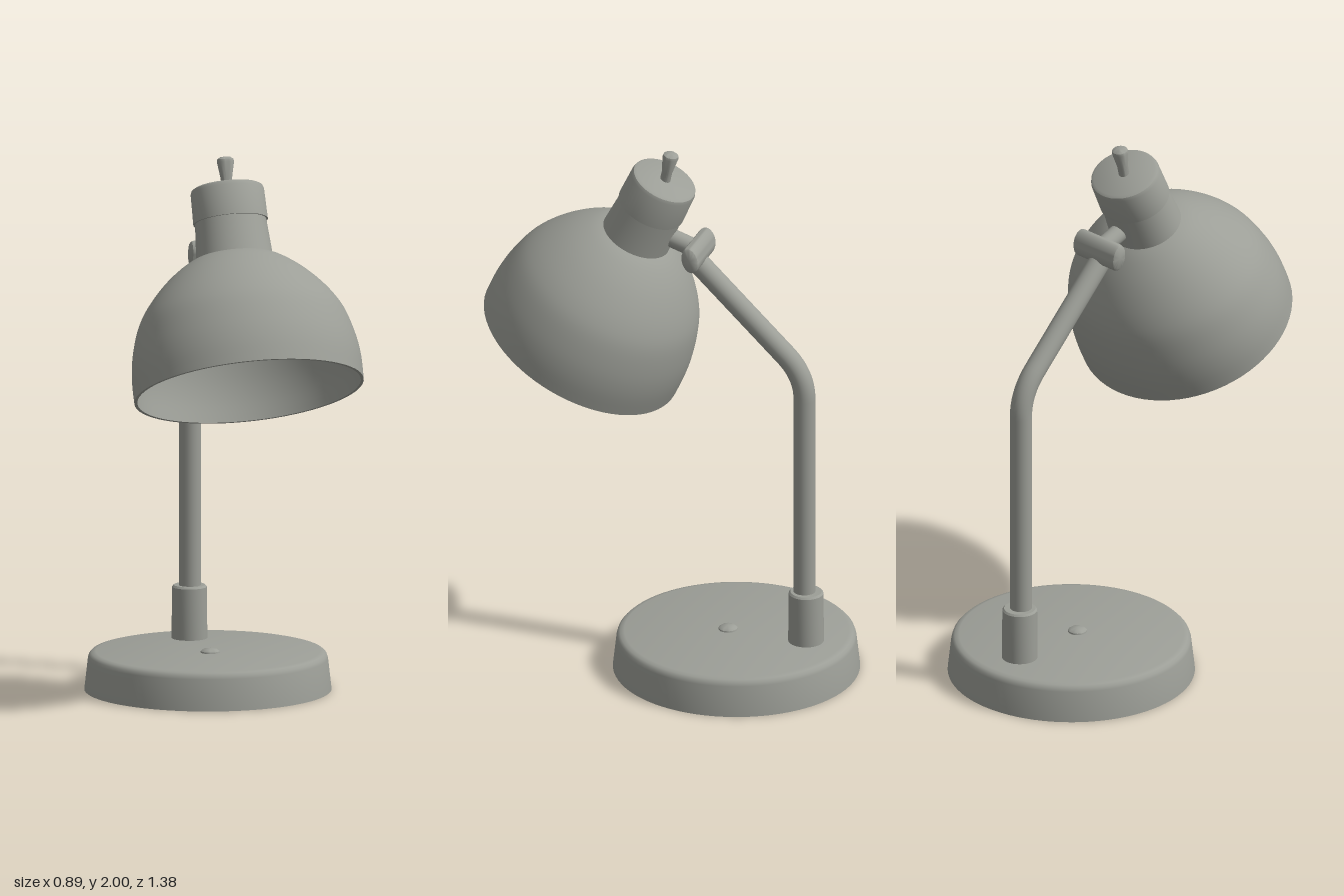
import * as THREE from 'three';
import { toCreasedNormals } from 'three/addons/utils/BufferGeometryUtils.js';

export function createModel() {
  const lamp = new THREE.Group();
  lamp.name = 'deskLamp';
  const metal = new THREE.MeshStandardMaterial({ color: 0x9c9e97 });
  metal.name = 'grey metal';

  const V = (x, y, z) => new THREE.Vector3(x, y, z);
  const add = (parent, name, geometry) => {
    const mesh = new THREE.Mesh(geometry, metal);
    mesh.name = name;
    parent.add(mesh);
    return mesh;
  };
  // profile of [radius, height] pairs, running from the underside to the top
  const lathe = (profile, segments = 64) =>
    toCreasedNormals(new THREE.LatheGeometry(profile.map(([r, y]) => new THREE.Vector2(r, y)), segments), 0.65);

  // Base: tapered disc with a softened upper edge
  add(lamp, 'base', lathe([[0, 0], [0.447, 0], [0.434, 0.115], [0.43, 0.127], [0.421, 0.136], [0.405, 0.14], [0, 0.14]], 80))
    .position.z = -0.245;
  add(lamp, 'baseButton', lathe([[0, 0.135], [0.036, 0.135], [0.034, 0.145], [0.025, 0.152], [0, 0.155]], 24))
    .position.z = -0.213;

  // Stem socket
  add(lamp, 'stemSocket', lathe([[0, 0.13], [0.065, 0.13], [0.063, 0.328], [0.057, 0.335], [0, 0.335]], 32))
    .position.z = -0.511;

  // Stem: upright, bend and sloping arm
  const path = new THREE.CurvePath();
  const bendStart = V(0, 1.1, -0.505);
  const bendEnd = V(0, 1.265, -0.43);
  path.add(new THREE.LineCurve3(V(0, 0.3, -0.505), bendStart));
  path.add(new THREE.QuadraticBezierCurve3(bendStart, V(0, 1.195, -0.505), bendEnd));
  path.add(new THREE.LineCurve3(bendEnd, V(0, 1.595, -0.085)));
  add(lamp, 'stem', new THREE.TubeGeometry(path, 90, 0.04, 24));

  // Hinge: flattened cross bar with rounded rims
  const hinge = add(lamp, 'hingeBar', lathe(
    [[0, -0.105], [0.04, -0.105], [0.047, -0.1], [0.05, -0.09], [0.05, 0.09], [0.047, 0.1], [0.04, 0.105], [0, 0.105]], 32));
  hinge.rotation.set(0.2, 0, Math.PI / 2);
  hinge.scale.z = 0.64;
  hinge.position.set(0, 1.63, -0.1);

  // Link between hinge and neck
  const from = V(0, 1.635, -0.09);
  const to = V(0, 1.68, 0.05);
  const link = add(lamp, 'hingeLink', new THREE.CylinderGeometry(0.034, 0.034, from.distanceTo(to), 24));
  link.position.copy(from).lerp(to, 0.5);
  link.quaternion.setFromUnitVectors(V(0, 1, 0), to.clone().sub(from).normalize());

  // Head: tilted, slightly oval group with its origin at the centre of the cap's top
  const head = new THREE.Group();
  head.name = 'head';
  head.position.set(0, 1.894, 0.027);
  head.rotation.x = -0.434;
  head.scale.x = 1.08;
  lamp.add(head);

  // Shade: thin bell, inner wall from the crown to the rim, outer wall back up
  const bell = new THREE.SplineCurve([
    [0.388, -0.763], [0.388, -0.68], [0.378, -0.6], [0.354, -0.51], [0.322, -0.445],
    [0.275, -0.381], [0.22, -0.324], [0.158, -0.277], [0.1, -0.25],
  ].map(([r, y]) => new THREE.Vector2(r, y))).getPoints(32);
  const outer = bell.map((p) => [p.x, p.y]);
  const inner = bell.map((p) => [p.x - 0.01, p.y - 0.01 * (p.y + 0.763) / 0.5]).reverse();
  const shade = lathe([[0, -0.262], ...inner, ...outer], 72);
  // the opening leans slightly against the axis
  const pos = shade.attributes.position;
  for (let i = 0; i < pos.count; i++) {
    const depth = Math.max(0, (-0.25 - pos.getY(i)) / 0.513);
    pos.setY(i, pos.getY(i) + 0.049 * pos.getZ(i) * depth);
  }
  add(head, 'shade', shade);

  // Neck and cap
  add(head, 'neck', lathe([[0, -0.29], [0.132, -0.29], [0.129, -0.26], [0.12, -0.125], [0, -0.125]], 48));
  add(head, 'cap', lathe([[0, -0.13], [0.126, -0.13], [0.124, -0.018], [0.12, -0.006], [0.11, 0], [0, 0]], 48));

  // Switch: flared toggle on the cap
  const toggle = add(head, 'switch', lathe(
    [[0, -0.01], [0.019, -0.01], [0.019, 0.03], [0.029, 0.092], [0.027, 0.102], [0.017, 0.109], [0, 0.111]], 24));
  toggle.rotation.x = 0.22;

  return lamp;
}
